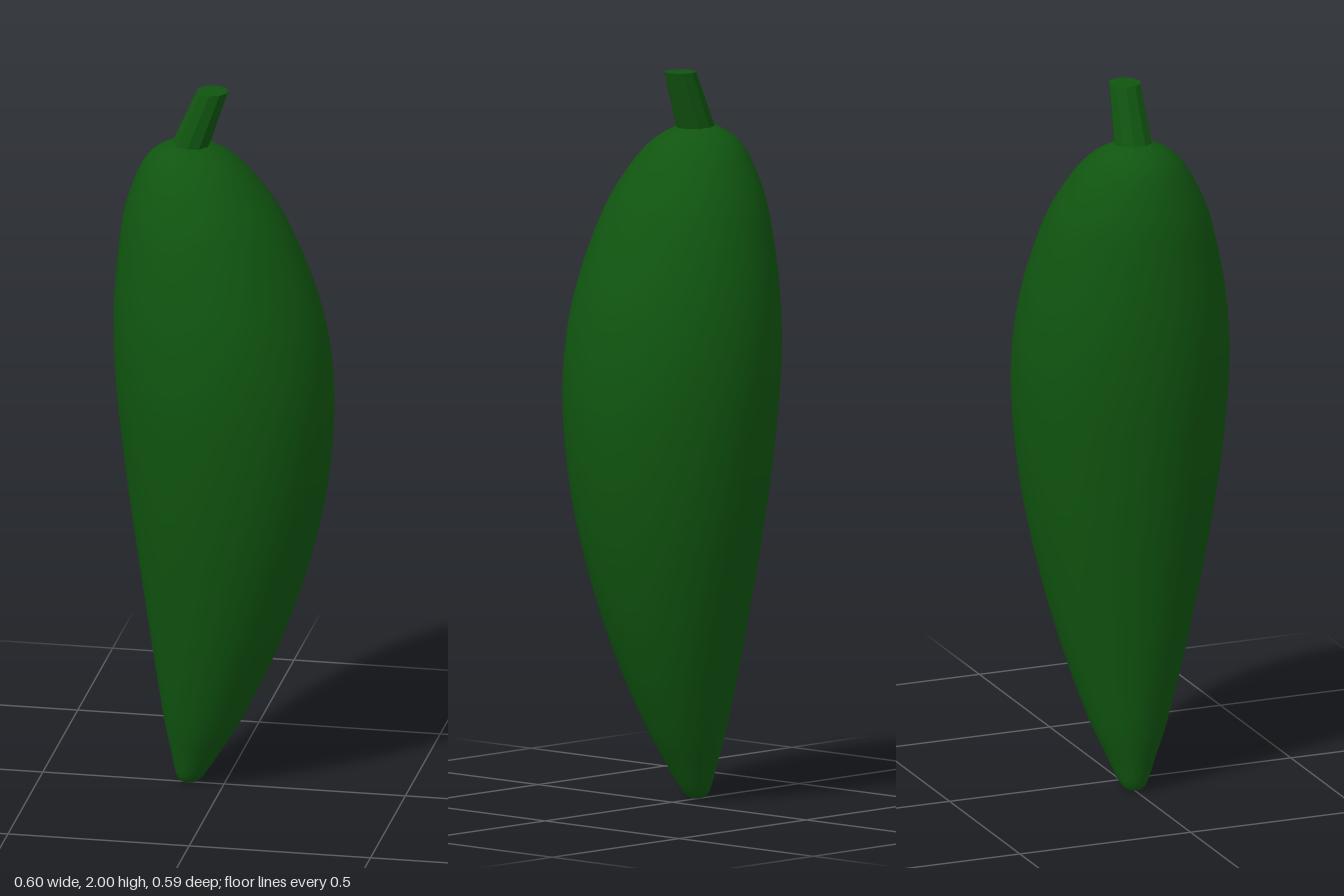
import * as THREE from 'three';
import { mergeVertices } from 'three/addons/utils/BufferGeometryUtils.js';

// Sideways position of the curved centre line at height y
const bend = (y) => 0.01 - 0.11 * ((y - 0.92) / 0.92) ** 2;

function podGeometry() {
  // Radius and height from the tip to the shoulder
  const profile = [
    [0, 0.005], [0.033, 0.02], [0.068, 0.1], [0.108, 0.2], [0.17, 0.4], [0.22, 0.6],
    [0.26, 0.8], [0.286, 1.0], [0.296, 1.2], [0.279, 1.4], [0.231, 1.6], [0.185, 1.71],
    [0.125, 1.8], [0.055, 1.845], [0, 1.852],
  ].map(([r, y]) => new THREE.Vector2(r, y));
  const points = new THREE.SplineCurve(profile).getPoints(56);
  points.forEach((p) => { p.x = Math.max(p.x, 0); });
  points[0].x = points[points.length - 1].x = 0;

  let geometry = new THREE.LatheGeometry(points, 48);
  const pos = geometry.attributes.position;
  for (let i = 0; i < pos.count; i++) pos.setX(i, pos.getX(i) + bend(pos.getY(i)));

  // Weld the seam so the shading is smooth all round
  geometry.deleteAttribute('uv');
  geometry.deleteAttribute('normal');
  geometry = mergeVertices(geometry, 1e-5);
  geometry.computeVertexNormals();
  return geometry;
}

function stemGeometry() {
  // Ten-sided tapered stalk, sheared so that its cut top stays level
  const bottom = 1.83, top = 2, height = top - bottom;
  const geometry = new THREE.CylinderGeometry(0.044, 0.054, height, 10);
  geometry.translate(0, bottom + height / 2, 0);
  const pos = geometry.attributes.position;
  for (let i = 0; i < pos.count; i++) {
    const t = (pos.getY(i) - bottom) / height;
    pos.setX(i, pos.getX(i) - 0.098 + 0.066 * t);
  }
  const flat = geometry.toNonIndexed();
  flat.computeVertexNormals();
  return flat;
}

export function createModel() {
  const green = new THREE.MeshStandardMaterial({ color: 0x105510 });
  green.name = 'dark green';

  const pod = new THREE.Mesh(podGeometry(), green);
  pod.name = 'pod';
  const stem = new THREE.Mesh(stemGeometry(), green);
  stem.name = 'stem';

  const group = new THREE.Group();
  group.name = 'pepper';
  group.add(pod, stem);
  return group;
}
